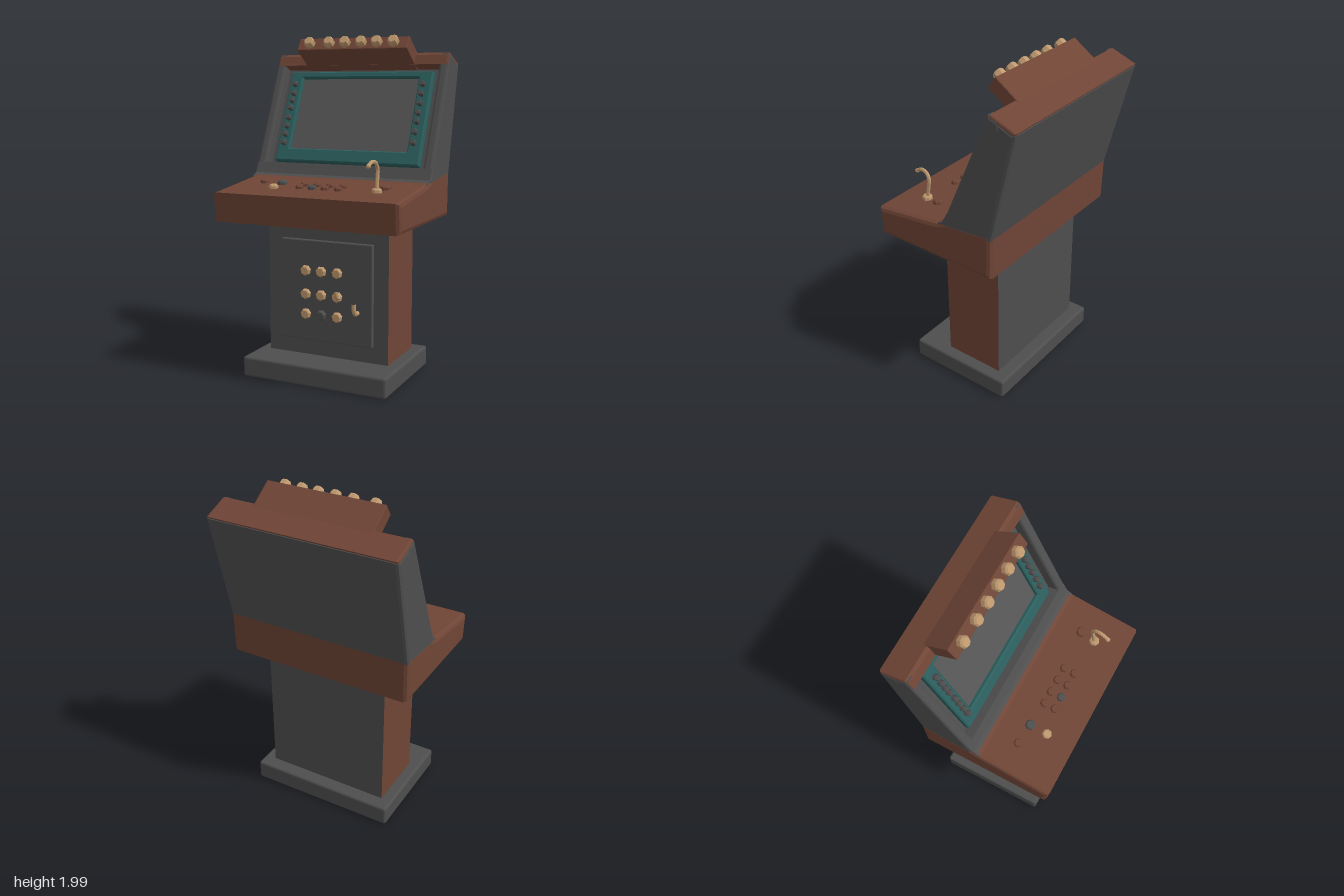
import * as THREE from 'three';
import { RoundedBoxGeometry } from 'three/addons/geometries/RoundedBoxGeometry.js';

export function createModel() {
  const mat = (name, color) => {
    const m = new THREE.MeshStandardMaterial({ color, flatShading: true });
    m.name = name;
    return m;
  };
  const brown = mat('brown', 0x6f4536);
  const grey = mat('grey', 0x4e4e4e);
  const screenGrey = mat('screenGrey', 0x565656);
  const teal = mat('teal', 0x2b5f5e);
  const tan = mat('tan', 0xbe986e);

  const model = new THREE.Group();
  const add = (parent, name, geo, material, x = 0, y = 0, z = 0) => {
    const m = new THREE.Mesh(geo, material);
    m.name = name;
    m.position.set(x, y, z);
    parent.add(m);
    return m;
  };
  const group = (name, x, y, z, tilt) => {
    const g = new THREE.Group();
    g.name = name;
    g.position.set(x, y, z);
    g.rotation.x = tilt;
    model.add(g);
    return g;
  };
  // side profile of [z, y] points, swept across x with chamfered edges
  const sweep = (pts, width, bevel) => {
    const g = new THREE.ExtrudeGeometry(new THREE.Shape(pts.map(p => new THREE.Vector2(...p))), {
      depth: width - 2 * bevel, bevelEnabled: bevel > 0, bevelSize: bevel,
      bevelThickness: bevel, bevelOffset: -bevel, bevelSegments: 2,
    });
    g.translate(0, 0, bevel - width / 2);
    return g.rotateY(-Math.PI / 2);
  };
  // low-poly button with a chamfered cap; its axis is y, or z when facing forward
  const knob = (r, h, forward) => {
    const pts = [[0, 0], [r, 0], [r, h * 0.7], [r * 0.75, h], [0, h]];
    const g = new THREE.LatheGeometry(pts.map(p => new THREE.Vector2(...p)), 7);
    return forward ? g.rotateX(Math.PI / 2) : g;
  };
  const tube = (pts, r) => new THREE.TubeGeometry(
    new THREE.CatmullRomCurve3(pts.map(p => new THREE.Vector3(...p))), 14, r, 7);
  const rect = (T, w, y0, y1) => {
    const s = new T();
    s.moveTo(-w, y0); s.lineTo(w, y0); s.lineTo(w, y1); s.lineTo(-w, y1);
    s.closePath();
    return s;
  };

  // plinth and column
  add(model, 'base', new RoundedBoxGeometry(0.91, 0.12, 0.665, 2, 0.015), grey, -0.003, 0.06, 0.027);
  add(model, 'column', new THREE.BoxGeometry(0.77, 0.84, 0.375),
    [brown, brown, grey, grey, grey, grey], -0.005, 0.53, -0.037);

  // door with its knobs and two bent handles
  add(model, 'door', new RoundedBoxGeometry(0.585, 0.6, 0.04, 1, 0.006), grey, -0.003, 0.515, 0.155);
  [0.635, 0.495, 0.375].forEach((y, row) => [-0.13, -0.03, 0.073].forEach((x, col) =>
    add(model, 'doorKnob', knob(0.031, 0.027, true), row === 2 && col === 1 ? grey : tan, x, y, 0.173)));
  add(model, 'upperHandle', tube([[0.09, 0.495, 0.18], [0.095, 0.5, 0.225], [0.1, 0.515, 0.247], [0.1, 0.548, 0.254]], 0.011), tan);
  add(model, 'lowerHandle', tube([[0.2, 0.415, 0.17], [0.2, 0.415, 0.205], [0.2, 0.43, 0.222], [0.2, 0.48, 0.228]], 0.013), tan);

  // control deck
  add(model, 'controlDeck', sweep([[0.465, 0.935], [0.48, 1.105], [0.05, 1.158], [-0.03, 1.19],
    [-0.322, 1.215], [-0.315, 0.935]], 1.14, 0.025), brown);
  add(model, 'deckUnderside', new THREE.BoxGeometry(1.08, 0.006, 0.72), grey, 0, 0.936, 0.075);

  // hood: its front slopes back along u, with outward direction n
  const A = [0, 1.19], u = [-0.4026, 0.9156], n = [0.9156, 0.4026];
  const P = (s, d) => [A[0] + u[0] * s + n[0] * d, A[1] + u[1] * s + n[1] * d];
  add(model, 'hood', sweep([P(-0.05, -0.07), P(0.74, -0.07), [-0.36, 1.87], [-0.477, 1.826],
    [-0.318, 1.17], [-0.25, 1.12]], 1.138, 0.02), grey);
  add(model, 'hoodLip', sweep([[0.045, 1.157], [0.01, 1.178], P(0.055, 0), P(0.065, -0.1),
    [-0.15, 1.1], [0.045, 1.1]], 1.125, 0), grey);
  for (const side of [-1, 1]) {
    const cheek = add(model, 'hoodCheek', sweep([P(-0.03, 0), P(0.765, 0), [-0.37, 1.87],
      P(0.7, -0.13), P(-0.03, -0.13)], 0.06, 0.016), grey, side * 0.539);
    cheek.name = side > 0 ? 'leftCheek' : 'rightCheek';
  }
  add(model, 'hoodTop', sweep([P(0.695, 0.002), P(0.755, 0.002), [-0.322, 1.895], [-0.476, 1.836],
    [-0.468, 1.815], P(0.695, -0.1)], 1.13, 0.012), brown);

  // screen, bezel and bezel buttons in the plane of the slope
  const display = group('display', 0, A[1], A[0], -0.4144);
  const frame = rect(THREE.Shape, 0.47, 0.079, 0.668);
  frame.holes.push(rect(THREE.Path, 0.385, 0.162, 0.628));
  add(display, 'bezel', new THREE.ExtrudeGeometry(frame, {
    depth: 0.035, bevelSize: 0.008, bevelThickness: 0.008, bevelOffset: -0.008, bevelSegments: 1,
  }), teal, 0, 0, -0.073);
  add(display, 'screen', new THREE.BoxGeometry(0.78, 0.48, 0.02), screenGrey, 0, 0.395, -0.065);
  const bezelButtons = (x, heights) => heights.forEach(y =>
    add(display, 'bezelButton', knob(0.018, 0.034, true), grey, x, (y - 1.184) / 0.9156, -0.032));
  bezelButtons(-0.425, [1.715, 1.66, 1.615, 1.57, 1.51, 1.46, 1.41, 1.36]);
  bezelButtons(0.42, [1.715, 1.66, 1.605, 1.55, 1.5, 1.44, 1.38]);

  // header box with its row of lamps
  const header = group('header', 0, 1.952, -0.172, -0.6);
  add(header, 'headerBox', new RoundedBoxGeometry(0.715, 0.085, 0.22, 1, 0.005), brown, 0, 0, -0.11);
  [-0.275, -0.145, -0.04, 0.065, 0.165, 0.27].forEach(x =>
    add(header, 'lamp', knob(0.034, 0.042, true), tan, x, 0, -0.003));

  // buttons on the deck: x, z, radius, height, colour
  const deckY = z => 1.158 - (z - 0.05) * 0.123;
  const deckButton = (x, z, r, h, m) => {
    add(model, 'deckButton', knob(r, h), m, x, deckY(z) - 0.004, z).rotation.x = 0.122;
  };
  deckButton(-0.39, 0.195, 0.025, 0.024, brown);
  deckButton(-0.265, 0.205, 0.03, 0.026, grey);
  deckButton(0.375, 0.2, 0.031, 0.026, brown);
  deckButton(-0.265, 0.31, 0.028, 0.026, tan);
  [-0.113, -0.035, 0.046, 0.128].forEach((x, i) => {
    deckButton(x, 0.215, 0.025, 0.024, brown);
    deckButton(x, 0.28, 0.025, 0.024, i === 1 ? grey : brown);
  });

  // bent control lever
  const lever = group('lever', 0, 0, 0, 0);
  add(lever, 'leverFoot', knob(0.03, 0.024), tan, 0.363, 1.13, 0.292);
  add(lever, 'leverRod', tube([[0.362, 1.14, 0.29], [0.362, 1.2, 0.282], [0.361, 1.262, 0.275],
    [0.357, 1.294, 0.297], [0.352, 1.3, 0.335], [0.348, 1.28, 0.375]], 0.011), tan);
  add(lever, 'leverTip', new THREE.IcosahedronGeometry(0.014, 1), tan, 0.348, 1.28, 0.372);

  return model;
}
